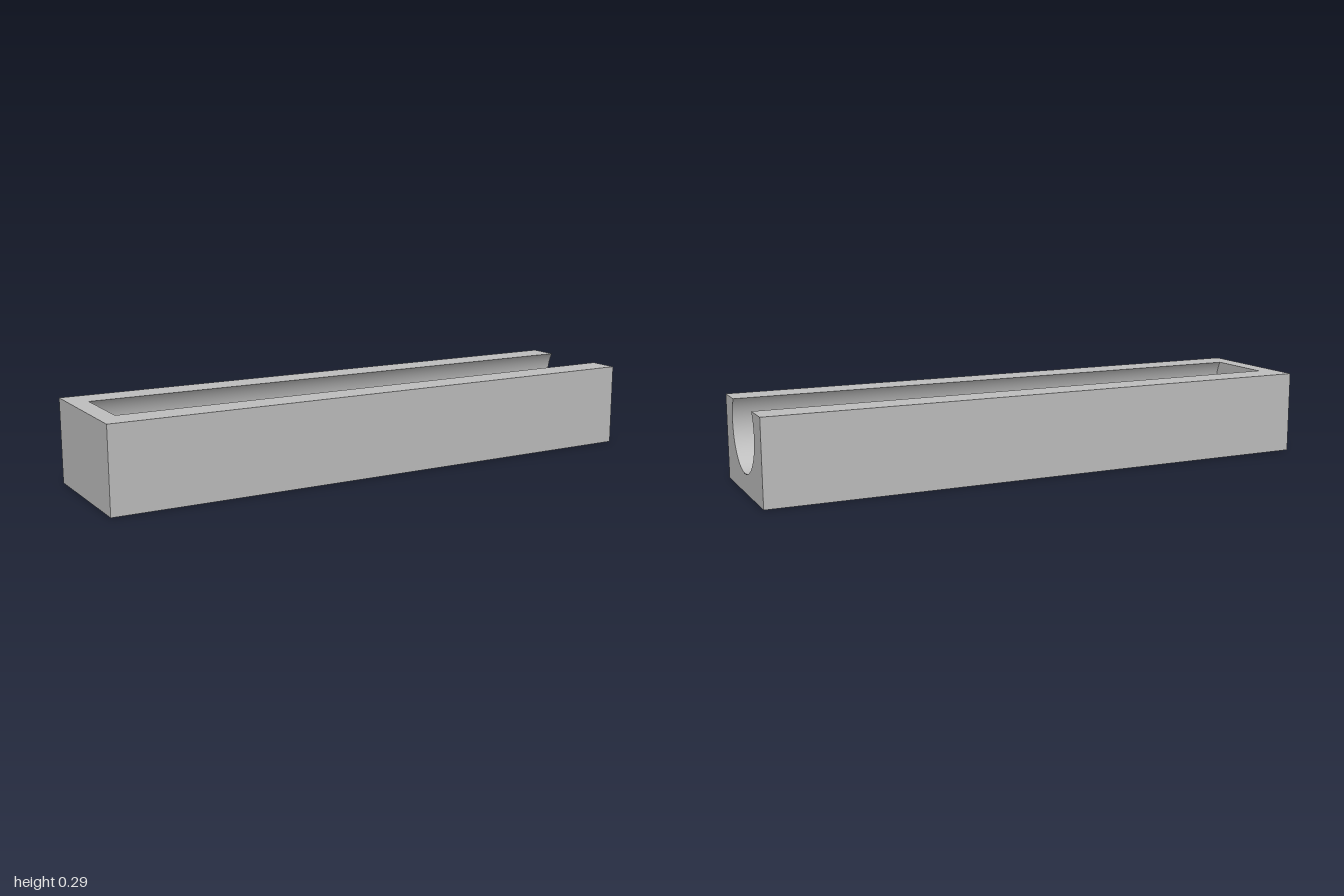
import * as THREE from 'three';
import { ParametricGeometry } from 'three/addons/geometries/ParametricGeometry.js';

// Block size, groove circle, and drain holes
const W = 0.235, H = 0.292;
const R = 0.148, CY = 0.214, X0 = -0.935, X1 = 1;
const HOLE_R = 0.032, PATCH = 0.05;
const HOLES = [-0.251, 0.032, 0.828];

const rim = Math.asin((H - CY) / R);        // groove edge above the circle centre
const open = R * Math.cos(rim);             // half width of the slot on top
const maxA = Math.PI / 2 + rim;             // groove half angle, from the bottom
const patchA = Math.asin(PATCH / R);
const floorY = z => CY - Math.sqrt(R * R - z * z);

export function createModel() {
  const group = new THREE.Group();
  const grey = new THREE.MeshStandardMaterial({ color: 0xc0c0c0 });
  grey.name = 'grey';

  const add = (name, geometry) => {
    const mesh = new THREE.Mesh(geometry, grey);
    mesh.name = name;
    group.add(mesh);
    return mesh;
  };
  const polygon = points => new THREE.Shape(points.map(p => new THREE.Vector2(...p)));

  // Outer walls
  add('frontWall', new THREE.PlaneGeometry(2, H).translate(0, H / 2, W));
  add('backWall', new THREE.PlaneGeometry(2, H).rotateY(Math.PI).translate(0, H / 2, -W));
  add('closedEnd', new THREE.PlaneGeometry(2 * W, H).rotateY(-Math.PI / 2).translate(-1, H / 2, 0));

  // Top rim, open towards +x
  const top = polygon([[-1, -W], [1, -W], [1, -open], [X0, -open], [X0, open], [1, open], [1, W], [-1, W]]);
  add('topRim', new THREE.ShapeGeometry(top).rotateX(-Math.PI / 2).translate(0, H, 0));

  // Underside with round holes
  const base = polygon([[-1, -W], [1, -W], [1, W], [-1, W]]);
  for (const x of HOLES) {
    base.holes.push(new THREE.Path().absarc(x, 0, HOLE_R, 0, Math.PI * 2, true));
  }
  add('underside', new THREE.ShapeGeometry(base, 32).rotateX(Math.PI / 2));

  // Open end with the groove cut out
  const end = new THREE.Shape();
  end.moveTo(-W, 0);
  end.lineTo(W, 0);
  end.lineTo(W, H);
  end.lineTo(open, H);
  end.absarc(0, CY, R, rim, Math.PI - rim, true);
  end.lineTo(-W, H);
  end.closePath();
  add('openEnd', new THREE.ShapeGeometry(end, 64).rotateY(Math.PI / 2).translate(1, 0, 0));

  // Inner wall at the closed end of the groove
  const stop = new THREE.Shape();
  stop.absarc(0, CY, R, Math.PI - rim, Math.PI * 2 + rim, false);
  add('grooveStop', new THREE.ShapeGeometry(stop, 64).rotateY(Math.PI / 2).translate(X0, 0, 0));

  // Cylindrical groove surface between two x positions and two angles
  const groove = (name, xa, xb, from, to, steps) => add(name, new ParametricGeometry((u, v, p) => {
    const a = from + (to - from) * v;
    p.set(xa + (xb - xa) * u, CY - R * Math.cos(a), R * Math.sin(a));
  }, 1, steps));
  groove('grooveFrontSide', X0, X1, maxA, patchA, 32);
  groove('grooveBackSide', X0, X1, -patchA, -maxA, 32);

  // Groove floor between the holes
  const stops = [X0, ...HOLES.flatMap(x => [x - PATCH, x + PATCH]), X1];
  for (let i = 0; i < stops.length; i += 2) {
    groove('grooveFloor', stops[i], stops[i + 1], patchA, -patchA, 8);
  }

  for (const x of HOLES) {
    // Curved floor patch from the round hole out to a square
    add('holeSurround', new ParametricGeometry((u, v, p) => {
      const t = u * Math.PI * 2, c = Math.cos(t), s = Math.sin(t);
      const edge = PATCH / Math.max(Math.abs(c), Math.abs(s));
      const d = HOLE_R + (edge - HOLE_R) * v;
      p.set(x + d * c, floorY(d * s), d * s);
    }, 32, 3));

    // Hole wall, from the underside up to the groove floor
    add('holeWall', new ParametricGeometry((u, v, p) => {
      const t = u * Math.PI * 2, z = HOLE_R * Math.sin(t);
      p.set(x + HOLE_R * Math.cos(t), floorY(z) * v, z);
    }, 32, 1));
  }

  return group;
}
